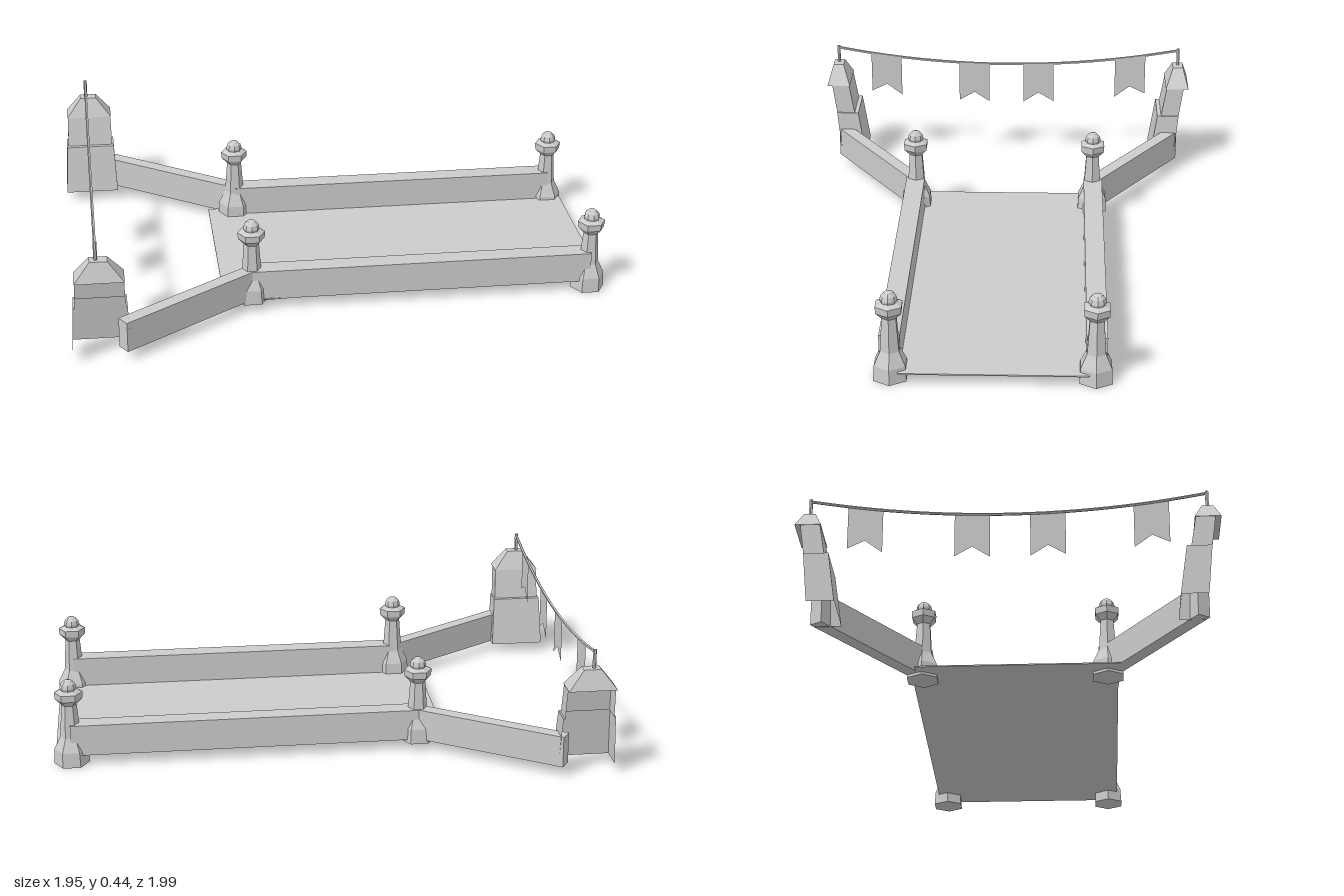
import * as THREE from 'three';

const stone = new THREE.MeshStandardMaterial({ color: 0xcccccc, flatShading: true, side: THREE.DoubleSide });

function add(parent, name, geometry, x = 0, y = 0, z = 0) {
  const mesh = new THREE.Mesh(geometry, stone);
  mesh.name = name;
  mesh.position.set(x, y, z);
  parent.add(mesh);
  return mesh;
}

// Straight low wall between two ground points
function wall(parent, name, x0, z0, x1, z1, thickness) {
  const length = Math.hypot(x1 - x0, z1 - z0);
  const geometry = new THREE.BoxGeometry(thickness, 0.104, length);
  const mesh = add(parent, name, geometry, (x0 + x1) / 2, 0.088, (z0 + z1) / 2);
  mesh.rotation.y = Math.atan2(x1 - x0, z1 - z0);
}

// Lofts rectangular sections [y, innerX, outerX, halfDepth]; an open loft has no outer wall
function loft(sections, side, closed) {
  const pos = [];
  const rings = sections.map(([y, a, b, h]) => [[b, y, h], [a, y, h], [a, y, -h], [b, y, -h]]
    .map(([x, yy, z]) => [x * side, yy, z]));
  const quad = (a, b, c, d) => {
    const order = side > 0 ? [a, c, b, a, d, c] : [a, b, c, a, c, d];
    order.forEach((p) => pos.push(...p));
  };
  for (let i = 0; i + 1 < rings.length; i++) {
    const lo = rings[i], hi = rings[i + 1];
    for (let j = 0; j < (closed ? 4 : 3); j++) {
      const k = (j + 1) % 4;
      quad(lo[j], lo[k], hi[k], hi[j]);
    }
  }
  if (closed) {
    quad(...rings[rings.length - 1]);
    quad(...[...rings[0]].reverse());
  }
  const geometry = new THREE.BufferGeometry();
  geometry.setAttribute('position', new THREE.Float32BufferAttribute(pos, 3));
  geometry.computeVertexNormals();
  return geometry;
}

// Six-sided lamp-like post with collar and ball
function post(parent, name, x, y, z) {
  const group = new THREE.Group();
  group.name = name;
  group.position.set(x, y, z);
  const profile = [[0, 0], [0.058, 0], [0.055, 0.05], [0.033, 0.095], [0.025, 0.205],
    [0.044, 0.225], [0.046, 0.248], [0.028, 0.256], [0, 0.256]].map(([r, h]) => new THREE.Vector2(r, h));
  add(group, 'postShaft', new THREE.LatheGeometry(profile, 6));
  add(group, 'postBall', new THREE.SphereGeometry(0.027, 8, 6), 0, 0.264, 0);
  parent.add(group);
}

// Battered gate pillar, open towards the outside, with a hipped cap and a pole
function pillar(parent, name, side) {
  const group = new THREE.Group();
  group.name = name;
  group.position.z = 1.078;
  add(group, 'pillarShaft', loft([
    [0.035, 0.531, 0.618, 0.093], [0.205, 0.556, 0.635, 0.085],
    [0.205, 0.57, 0.635, 0.08], [0.31, 0.588, 0.65, 0.077],
  ], side, false));
  add(group, 'pillarCap', loft([
    [0.31, 0.585, 0.668, 0.079], [0.375, 0.611, 0.648, 0.028],
  ], side, true));
  add(group, 'flagPole', new THREE.CylinderGeometry(0.006, 0.006, 0.07, 6), side * 0.63, 0.402, 0.008);
  parent.add(group);
}

export function createModel() {
  const model = new THREE.Group();
  model.name = 'bridge';
  const body = new THREE.Group();
  body.name = 'bridgeBody';
  body.position.set(0.3025, 0, -0.3125);
  body.rotation.y = -0.748;
  model.add(body);

  // Deck, slightly wider at the gate end
  const outline = new THREE.Shape([[-0.29, -0.622], [0.285, -0.622], [0.355, 0.666], [-0.33, 0.666]]
    .map(([x, z]) => new THREE.Vector2(x, z)));
  const deck = new THREE.ExtrudeGeometry(outline, { depth: 0.004, bevelEnabled: false });
  deck.rotateX(Math.PI / 2);
  add(body, 'deck', deck, 0, 0.039, 0);

  // Side walls, wing walls, posts and gate pillars
  for (const side of [-1, 1]) {
    const label = side > 0 ? 'left' : 'right';
    wall(body, label + 'SideWall', side * 0.312, -0.572, side * 0.312, 0.572, 0.064);
    wall(body, label + 'WingWall', side * 0.318, 0.575, side * 0.61, 1.01, 0.045);
    post(body, label + 'FrontPost', side * 0.31, 0.026, 0.572);
    post(body, label + 'BackPost', side * 0.31, 0, -0.572);
    pillar(body, label + 'Pillar', side);
  }

  // Sagging rope between the poles
  const ropePoint = (t) => new THREE.Vector3(0.63 * (2 * t - 1), 0.37 + 0.06 * (2 * t - 1) ** 2, 1.086);
  const curve = new THREE.CatmullRomCurve3(Array.from({ length: 11 }, (_, i) => ropePoint(i / 10)));
  add(body, 'rope', new THREE.TubeGeometry(curve, 20, 0.005, 5));

  // Swallow-tailed pennants
  for (const t of [0.14, 0.41, 0.6, 0.86]) {
    const w = 0.056, slope = 0.19 * (2 * t - 1) * w;
    const flag = new THREE.Shape([[-w, -slope], [-w, -0.15 - slope], [0, -0.115], [w, -0.15 + slope], [w, slope]]
      .map(([x, y]) => new THREE.Vector2(x, y)));
    const p = ropePoint(t);
    add(body, 'pennant', new THREE.ShapeGeometry(flag), p.x, p.y, p.z);
  }
  return model;
}
